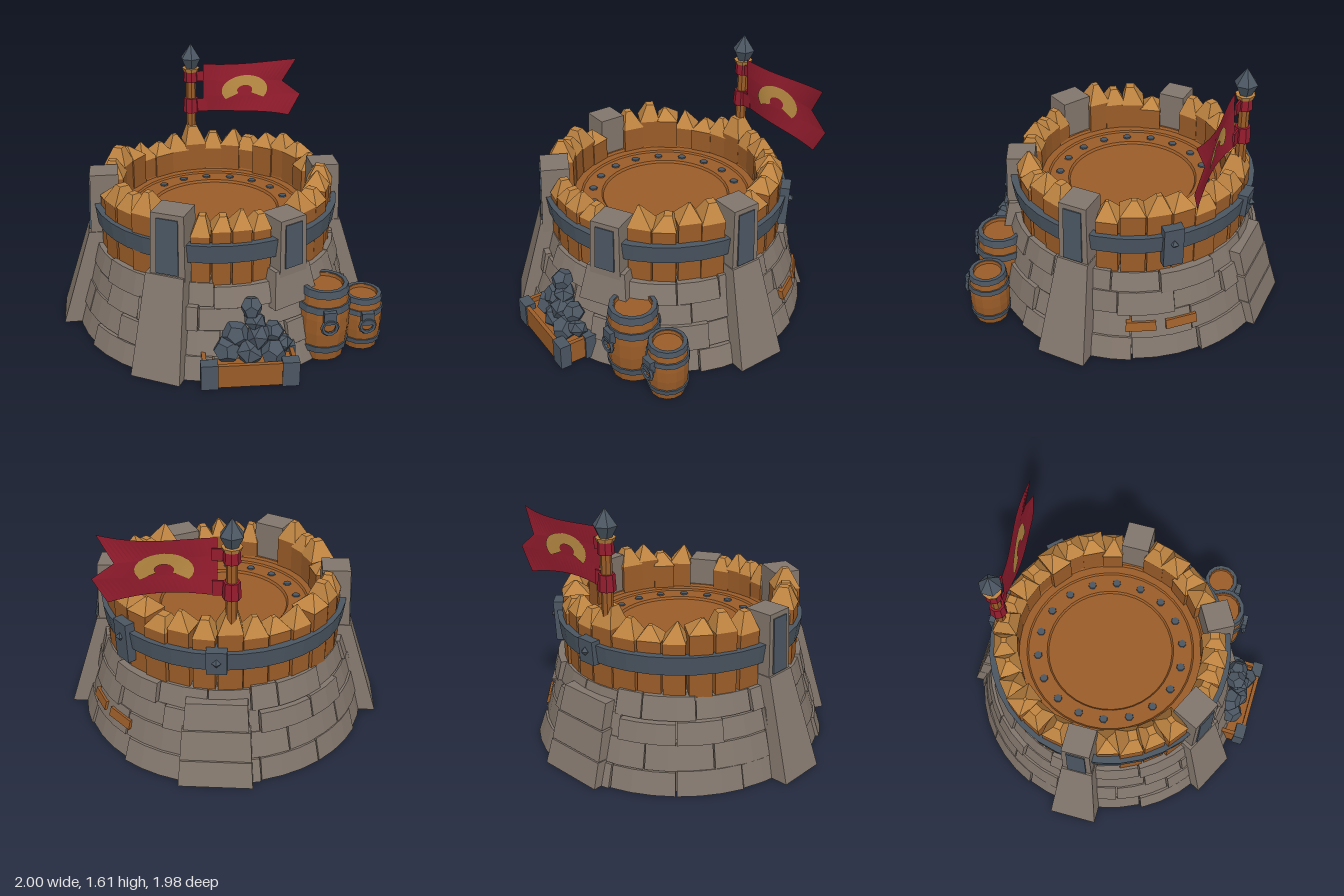
import * as THREE from 'three';

const mat = (name, color, side = THREE.FrontSide) => {
  const m = new THREE.MeshStandardMaterial({ color, side });
  m.name = name;
  return m;
};
const stone = mat('stone', 0x82766c);
const wood = mat('wood', 0x9a5c28);
const lightWood = mat('light wood', 0xc08542);
const metal = mat('metal', 0x4b5662);
const red = mat('red cloth', 0x941c2e, THREE.DoubleSide);
const gold = mat('gold paint', 0xbe8e45, THREE.DoubleSide);

const D = Math.PI / 180;

export function createModel() {
  const model = new THREE.Group();
  model.name = 'watchtower';
  const tower = new THREE.Group();
  tower.name = 'tower';
  tower.position.z = -0.04;
  model.add(tower);

  let seed = 7;
  const rnd = (a, b) => {
    seed = (seed * 16807) % 2147483647;
    return a + (b - a) * (seed / 2147483647);
  };

  // Adds a faceted mesh
  const add = (parent, name, geo, material, x = 0, y = 0, z = 0) => {
    const g = geo.index ? geo.toNonIndexed() : geo;
    g.computeVertexNormals();
    const mesh = new THREE.Mesh(g, material);
    mesh.name = name;
    mesh.position.set(x, y, z);
    parent.add(mesh);
    return mesh;
  };
  const warp = (geo, rule) => {
    const p = geo.attributes.position;
    for (let i = 0; i < p.count; i++) p.setXYZ(i, ...rule(p.getX(i), p.getY(i), p.getZ(i)));
    return geo;
  };
  const lathe = (pts, n) => new THREE.LatheGeometry(pts.map(([r, y]) => new THREE.Vector2(r, y)), n);

  // Curved block of a ring; angles in degrees from the front, outer radius differs at bottom and top
  const sector = (a0, a1, y0, y1, rin, rb, rt) =>
    warp(new THREE.BoxGeometry(1, 1, 1, Math.max(1, Math.round((a1 - a0) / 9)), 1, 1), (x, y, z) => {
      const a = (a0 + (x + 0.5) * (a1 - a0)) * D;
      const r = z < 0 ? rin : y < 0 ? rb : rt;
      return [r * Math.sin(a), y0 + (y + 0.5) * (y1 - y0), r * Math.cos(a)];
    });
  // Straight tapered block facing outwards at an angle
  const taper = (angle, w0, w1, y0, y1, rin, rb, rt) =>
    warp(new THREE.BoxGeometry(1, 1, 1), (x, y, z) => [
      x * (y < 0 ? w0 : w1), y0 + (y + 0.5) * (y1 - y0), z < 0 ? rin : y < 0 ? rb : rt,
    ]).rotateY(angle * D);

  // Hollow stone base with rows of uneven blocks
  add(tower, 'baseCore', lathe([[0.61, 0.02], [0.88, 0.02], [0.71, 0.55], [0.57, 0.68], [0.61, 0.02]], 40), stone);
  const outer = (y) => 0.92 - 0.29 * y;
  const rows = [0.01, 0.15, 0.3, 0.43, 0.56];
  for (let i = 0; i < 4; i++) {
    let a = -180 + i * 9;
    const end = a + 360;
    while (a < end - 1) {
      let b = a + rnd(17, 28);
      if (end - b < 12) b = end;
      const d = rnd(-0.015, 0.015);
      add(tower, 'baseStone', sector(a + 0.25, b - 0.25, rows[i], rows[i + 1] + rnd(-0.012, 0.01), 0.63,
        outer(rows[i]) + d, outer(rows[i + 1]) + d + rnd(-0.01, 0.01)), stone);
      a = b;
    }
  }
  // Wooden wedges set in gaps between the stones
  [[113, 125], [129, 142]].forEach(([a, b]) =>
    add(tower, 'wallWedge', sector(a, b, 0.2, 0.255, 0.7, outer(0.2) + 0.013, outer(0.255) + 0.013), wood));

  // Buttresses
  add(tower, 'sideButtress', taper(90, 0.31, 0.2, 0.01, 0.62, 0.63, 1.0, 0.81), stone);
  add(tower, 'sideButtress', taper(-90, 0.31, 0.2, 0.01, 0.62, 0.63, 1.0, 0.81), stone);
  add(tower, 'frontButtress', taper(-28, 0.31, 0.24, 0.01, 0.62, 0.63, 0.98, 0.81), stone);
  add(tower, 'shortButtress', taper(28, 0.32, 0.25, 0.4, 0.62, 0.62, 0.84, 0.79), stone);
  // Back buttress of three stepped stones
  [[0.01, 0.16, 0.44, 0.955], [0.165, 0.34, 0.42, 0.905], [0.345, 0.5, 0.38, 0.855]].forEach(([y0, y1, w, r]) =>
    add(tower, 'backButtress', taper(180, w, w - 0.02, y0, y1, 0.63, r, r - 0.045), stone));

  // Stone pillars with metal plates: angle, width, top
  const pillars = [[-90, 0.19, 1.0], [-27, 0.22, 1.0], [28, 0.2, 0.93], [90, 0.19, 1.0]];
  for (const [a, w, top] of pillars) {
    add(tower, 'pillar', taper(a, w, w * 0.92, 0.56, top, 0.61, 0.8, 0.785), stone);
    add(tower, 'pillarPlate', taper(a, w * 0.64, w * 0.6, 0.63, top - 0.03, 0.775, 0.807, 0.793), metal);
  }

  // Palisade posts with pale pointed tops, spread between the pillars: start, end, count
  for (const [from, to, n] of [[-82, -36, 4], [-18.5, 19.5, 4], [37, 82, 4], [98, 262, 14]]) {
    for (let i = 0; i < n; i++) {
      const a = from + ((i + 0.5) * (to - from)) / n;
      const post = new THREE.Group();
      post.name = 'palisadePost';
      const w = ((to - from) / n) * D * 0.67 * rnd(0.93, 1.08), d = rnd(0.14, 0.165);
      const h = (n === 4 && Math.abs(a) < 28 ? 0.87 : 0.92) + rnd(-0.04, 0.03);
      add(post, 'postBody', new THREE.BoxGeometry(w, h - 0.53, d), wood, 0, (h + 0.53) / 2, 0);
      const th = rnd(0.07, 0.12), lean = rnd(-0.15, 0.15);
      const tip = new THREE.CylinderGeometry(rnd(0.02, 0.32), Math.SQRT1_2, 1, 4).rotateY(Math.PI / 4);
      warp(tip, (x, y, z) => [(x + (y > 0 ? lean : 0)) * w * 1.04, y * th, z * d * 1.04]);
      add(post, 'postTip', tip, lightWood, 0, h + th / 2, 0);
      const r = rnd(0.648, 0.668);
      post.position.set(r * Math.sin(a * D), 0, r * Math.cos(a * D));
      post.rotation.y = a * D + rnd(-0.07, 0.07);
      tower.add(post);
    }
  }

  // Iron band and its clasps: angle, bottom, top
  add(tower, 'ironBand', lathe([[0.71, 0.7], [0.757, 0.7], [0.772, 0.815], [0.72, 0.815], [0.71, 0.7]], 36), metal);
  for (const [a, y0, y1] of [[133, 0.61, 0.87], [180, 0.69, 0.84]]) {
    add(tower, 'bandClasp', taper(a, 0.12, 0.12, y0, y1, 0.69, 0.785, 0.795), metal);
    add(tower, 'claspBolt', new THREE.OctahedronGeometry(0.028), metal,
      0.795 * Math.sin(a * D), 0.77, 0.795 * Math.cos(a * D));
  }

  // Stepped deck with rivets
  add(tower, 'deck', lathe([[0, 0.66], [0.64, 0.66], [0.64, 0.75], [0.6, 0.75], [0.59, 0.735], [0.54, 0.735],
    [0.53, 0.725], [0.41, 0.725], [0.4, 0.71], [0, 0.71]], 40), wood);
  for (let i = 0; i < 18; i++) {
    const a = i * 20 * D;
    add(tower, 'deckRivet', new THREE.CylinderGeometry(0.025, 0.028, 0.01, 7), metal,
      0.468 * Math.sin(a), 0.728, 0.468 * Math.cos(a));
  }

  // Flagpole
  const flag = new THREE.Group();
  flag.name = 'flag';
  flag.position.set(-0.08, 0, -0.72);
  model.add(flag);
  add(flag, 'pole', new THREE.CylinderGeometry(0.033, 0.036, 0.85, 8), wood, 0, 1.015, 0);
  add(flag, 'poleCollar', new THREE.CylinderGeometry(0.06, 0.05, 0.025, 8), lightWood, 0, 1.435, 0);
  add(flag, 'finial', lathe([[0, 1.43], [0.035, 1.44], [0.072, 1.515], [0, 1.615]], 6), metal);
  add(flag, 'clothWrap', new THREE.CylinderGeometry(0.046, 0.05, 0.075, 8), red, 0, 1.39, 0);
  add(flag, 'clothWrap', new THREE.CylinderGeometry(0.048, 0.054, 0.1, 8), red, 0, 1.185, 0);
  add(flag, 'clothTie', new THREE.BoxGeometry(0.1, 0.07, 0.012), red, 0.06, 1.39, 0.015);
  add(flag, 'clothTie', new THREE.BoxGeometry(0.1, 0.09, 0.012), red, 0.06, 1.185, 0.015);

  // Waving swallow-tailed cloth with a plain painted arch on both faces
  const wave = (x, y) => 0.015 + 0.022 * Math.sin(x * 7 + (y - 1.3) * 5);
  const endX = [0.69, 0.77, 0.64, 0.73], endY = [1.08, 1.23, 1.33, 1.49];
  const cloth = warp(new THREE.PlaneGeometry(1, 1, 24, 3), (u, v) => {
    const k = Math.round((v + 0.5) * 3), t = u + 0.5;
    const x = 0.08 + (endX[k] - 0.08) * t;
    const y0 = 1.14 + (k / 3) * 0.34;
    const y = y0 + (endY[k] - y0) * t ** 3 - 0.015 * Math.sin(t * Math.PI) * (k / 3);
    return [x, y, wave(x, y)];
  });
  add(flag, 'flagCloth', cloth, red);
  for (const s of [-1, 1]) {
    const arch = new THREE.RingGeometry(0.036, 0.108, 18, 3, -0.6, Math.PI + 1.2);
    add(flag, 'paintedArch', warp(arch, (x, y) => {
      const px = x * 1.5 + 0.37, py = y * 0.95 + 1.285;
      return [px, py, wave(px, py) + s * 0.006];
    }), gold);
  }

  // Barrels
  const barrel = (x, z, r, h) => {
    const g = new THREE.Group();
    g.name = 'barrel';
    g.position.set(x, 0.01, z);
    const at = (t) => r * (0.84 + 0.16 * Math.sin(t * Math.PI));
    const side = [0, 0.2, 0.4, 0.6, 0.8, 1].map((t) => [at(t), t * h]);
    add(g, 'barrelBody', lathe([[0, 0], ...side, [r * 0.7, h], [r * 0.68, h - 0.02], [0, h - 0.02]], 14), wood);
    for (const [a, b] of [[0.13, 0.22], [0.7, 0.79], [0.91, 1.01]]) {
      add(g, 'barrelHoop', lathe([[r * 0.73, a * h], [at(a) + 0.009, a * h], [at(b) + 0.009, b * h],
        [r * 0.73, b * h], [r * 0.73, a * h]], 14), metal);
    }
    add(g, 'handleMount', new THREE.BoxGeometry(0.075, 0.08, 0.05), metal, 0, h * 0.68, r);
    add(g, 'handleRing', new THREE.TorusGeometry(0.045, 0.013, 5, 10), metal, 0, h * 0.55, r + 0.018);
    model.add(g);
  };
  barrel(0.58, 0.61, 0.16, 0.47);
  barrel(0.84, 0.55, 0.125, 0.35);

  // Filled crate with metal corners
  const crate = new THREE.Group();
  crate.name = 'crate';
  crate.position.set(0.085, 0, 0.855);
  crate.rotation.y = -0.04;
  model.add(crate);
  add(crate, 'crateFill', new THREE.BoxGeometry(0.5, 0.11, 0.2), wood, 0, 0.085, 0);
  for (const s of [-1, 1]) {
    add(crate, 'crateSide', new THREE.BoxGeometry(0.5, 0.145, 0.025), wood, 0, 0.1, s * 0.1);
    add(crate, 'crateEnd', new THREE.BoxGeometry(0.025, 0.145, 0.2), wood, s * 0.26, 0.1, 0);
    for (const t of [-1, 1]) {
      add(crate, 'crateCorner', new THREE.BoxGeometry(0.1, 0.16, 0.07), metal, s * 0.235, 0.1, t * 0.085);
    }
  }

  // Pile of ore: x, y, z, radius
  [[-0.12, 0.2, -0.02, 0.085], [0.01, 0.19, 0.0, 0.09], [0.14, 0.19, 0.01, 0.085], [0.2, 0.21, -0.04, 0.07],
    [-0.07, 0.28, -0.05, 0.085], [0.06, 0.28, -0.03, 0.09], [0.15, 0.29, -0.05, 0.07],
    [0.04, 0.37, -0.05, 0.075], [0.02, 0.455, -0.05, 0.07]].forEach(([x, y, z, r], i) => {
    const geo = i % 2 ? new THREE.IcosahedronGeometry(r) : new THREE.DodecahedronGeometry(r);
    const rock = add(crate, 'oreRock', geo.scale(1, rnd(0.8, 1.05), rnd(0.8, 1)), metal, x, y, z);
    rock.rotation.set(rnd(0, 3), rnd(0, 3), rnd(0, 3));
  });

  return model;
}
